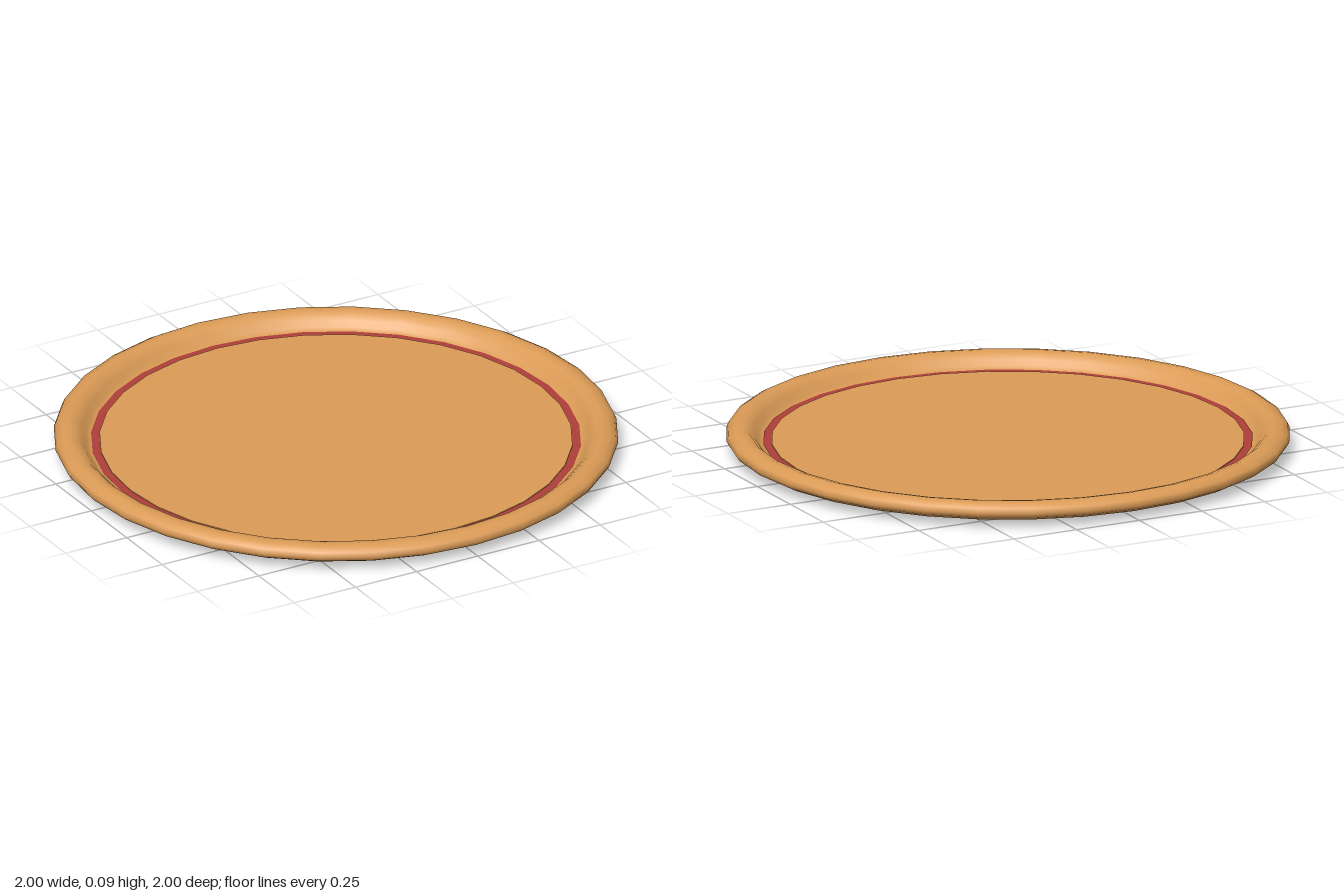
import * as THREE from 'three';

const SEGMENTS = 32;

export function createModel() {
  const model = new THREE.Group();
  model.name = 'flatRoundBase';

  const crustMat = new THREE.MeshStandardMaterial({ name: 'baked tan', color: 0xdb9b56 });
  const ringMat = new THREE.MeshStandardMaterial({ name: 'sauce red', color: 0xae3f39 });

  const add = (name, geometry, material, y = 0) => {
    const mesh = new THREE.Mesh(geometry, material);
    mesh.name = name;
    mesh.position.y = y;
    model.add(mesh);
  };

  // Crust: shallow domed underside, rounded rim, sloping down to a recessed floor
  const profile = [
    [0, 0], [0.5, 0.004], [0.78, 0.009], [0.9, 0.015], [0.96, 0.024], [0.99, 0.04],
    [1, 0.056], [0.992, 0.073], [0.97, 0.086], [0.945, 0.09], [0.92, 0.084],
    [0.9, 0.066], [0.885, 0.047], [0.87, 0.036], [0.84, 0.033],
  ].map(([r, y]) => new THREE.Vector2(r, y));
  add('crust', new THREE.LatheGeometry(profile, SEGMENTS), crustMat);

  // Thin ring showing around the edge of the floor
  const ring = new THREE.RingGeometry(0.82, 0.868, SEGMENTS).rotateX(-Math.PI / 2);
  add('sauceRing', ring, ringMat, 0.038);

  // Floor disc lying just above the ring
  const floor = new THREE.CylinderGeometry(0.838, 0.838, 0.006, SEGMENTS);
  add('floorDisc', floor, crustMat, 0.038);

  return model;
}
